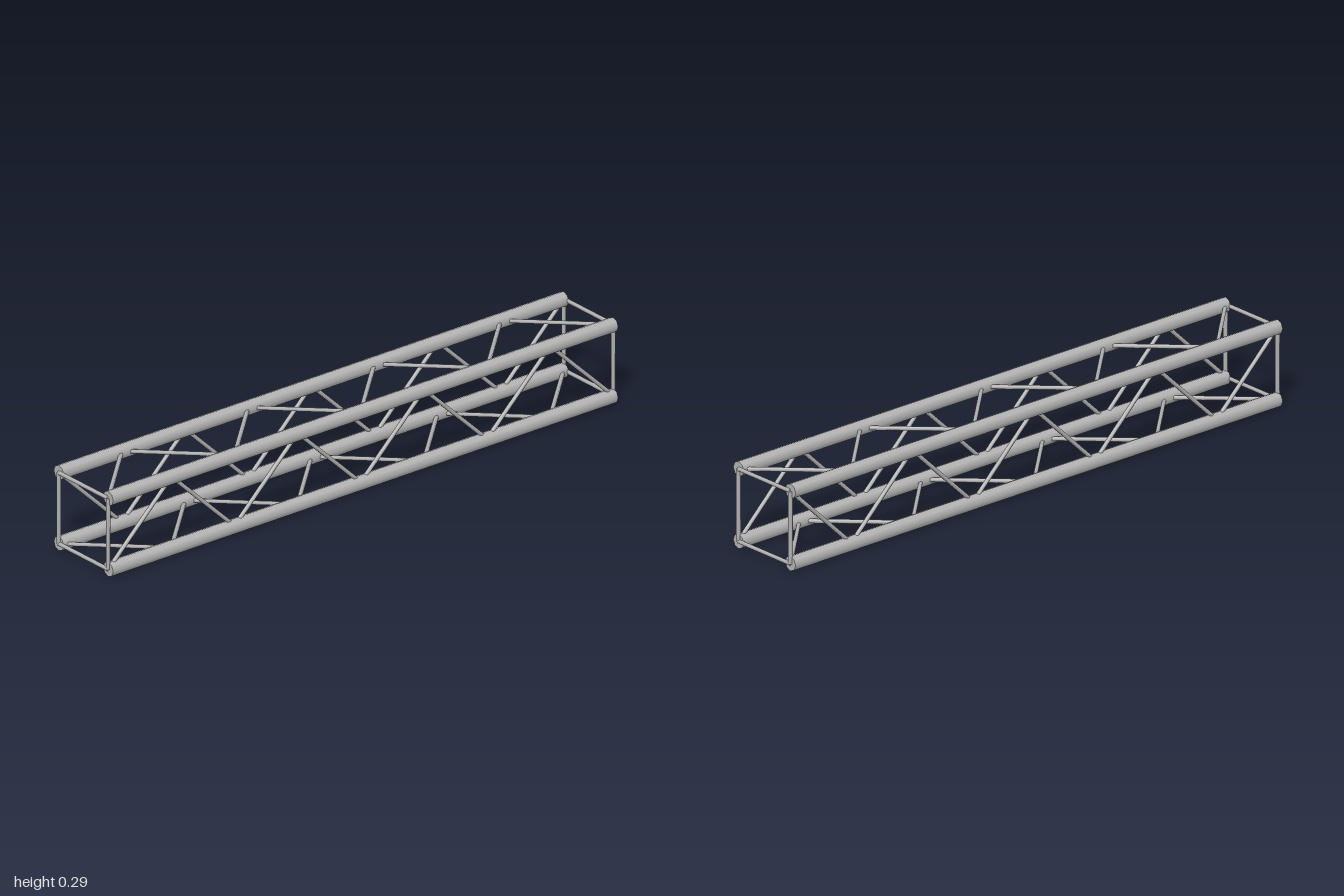
import * as THREE from 'three';

const HALF = 0.993;   // half length between end frames
const SIDE = 0.1195;  // half spacing of the main tubes
const MID = 0.1437;   // height of the centre line
const BAYS = 8;

export function createModel() {
  const model = new THREE.Group();
  model.name = 'boxTruss';
  const aluminium = new THREE.MeshStandardMaterial({ color: 0xb4b4b4 });
  aluminium.name = 'aluminium';

  // Straight tube between two points
  function tube(name, a, b, radius, sides) {
    const dir = b.clone().sub(a);
    const mesh = new THREE.Mesh(
      new THREE.CylinderGeometry(radius, radius, dir.length(), sides), aluminium);
    mesh.name = name;
    mesh.position.copy(a).add(b).multiplyScalar(0.5);
    mesh.quaternion.setFromUnitVectors(new THREE.Vector3(0, 1, 0), dir.normalize());
    model.add(mesh);
  }

  // Corners in order around the section: front top, back top, back bottom, front bottom
  const corners = [[1, 1], [1, -1], [-1, -1], [-1, 1]];
  const node = (corner, x) => {
    const [y, z] = corners[corner % 4];
    return new THREE.Vector3(x, MID + y * SIDE, z * SIDE);
  };

  for (let c = 0; c < 4; c++) {
    // Main tube along each corner
    tube('mainTube', node(c, -HALF), node(c, HALF), 0.0242, 8);

    // Square frame at both ends
    for (const x of [-HALF, HALF]) tube('endBar', node(c, x), node(c + 1, x), 0.0073, 6);

    // Zigzag bracing on each face
    for (let k = 0; k < BAYS; k++) {
      const x0 = -HALF + (2 * HALF * k) / BAYS;
      const x1 = x0 + (2 * HALF) / BAYS;
      tube('diagonalBrace', node(c + (k % 2), x0), node(c + ((k + 1) % 2), x1), 0.007, 6);
    }
  }
  return model;
}
